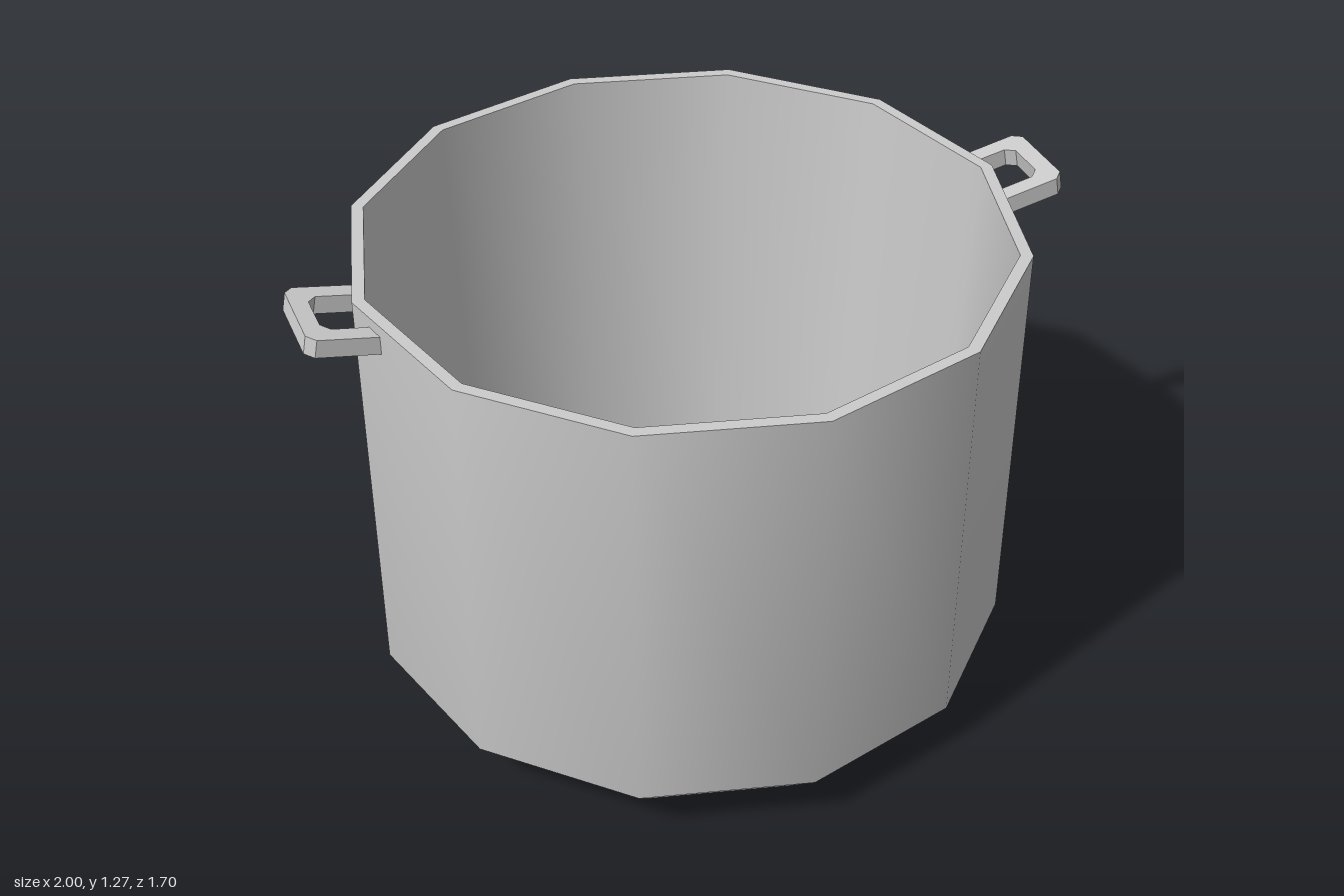
import * as THREE from 'three';

const SIDES = 12;
const material = new THREE.MeshStandardMaterial({ color: 0xcccccc });

// One smooth twelve-sided ring; separate rings keep the edges between them sharp.
function ring(name, profile) {
  const points = profile.map(([r, y]) => new THREE.Vector2(r, y));
  const mesh = new THREE.Mesh(new THREE.LatheGeometry(points, SIDES), material);
  mesh.name = name;
  return mesh;
}

// U-shaped grip, open towards the pot, sloping up and outwards.
function handle(name, side) {
  const length = 0.183, half = 0.12, bar = 0.046, cut = 0.022;
  const inner = length - bar, innerHalf = half - bar;
  const shape = new THREE.Shape([
    [0, -half], [length - cut, -half], [length, -half + cut],
    [length, half - cut], [length - cut, half], [0, half],
    [0, innerHalf], [inner - cut, innerHalf], [inner, innerHalf - cut],
    [inner, -innerHalf + cut], [inner - cut, -innerHalf], [0, -innerHalf],
  ].map(([x, y]) => new THREE.Vector2(x, y)));
  const geometry = new THREE.ExtrudeGeometry(shape, { depth: 0.048, bevelEnabled: false });
  geometry.rotateX(-Math.PI / 2);
  geometry.rotateZ(0.19);
  geometry.translate(0.82, 1.19, 0);
  if (side < 0) geometry.rotateY(Math.PI);
  const mesh = new THREE.Mesh(geometry, material);
  mesh.name = name;
  return mesh;
}

export function createModel() {
  const model = new THREE.Group();
  model.name = 'cookingPot';

  // Pot body: base, chamfered outer wall, rim, slightly tapered inside and floor
  const body = new THREE.Group();
  body.name = 'potBody';
  body.position.x = -0.004;
  body.add(
    ring('base', [[0, 0], [0.705, 0]]),
    ring('outerWall', [[0.705, 0], [0.85, 0.15], [0.85, 1.27]]),
    ring('rim', [[0.85, 1.27], [0.818, 1.27]]),
    ring('innerWall', [[0.818, 1.27], [0.757, 0.1]]),
    ring('floor', [[0.757, 0.1], [0, 0.1]]),
  );
  model.add(body);

  // Matching handles on both sides
  model.add(handle('leftHandle', 1), handle('rightHandle', -1));
  return model;
}
